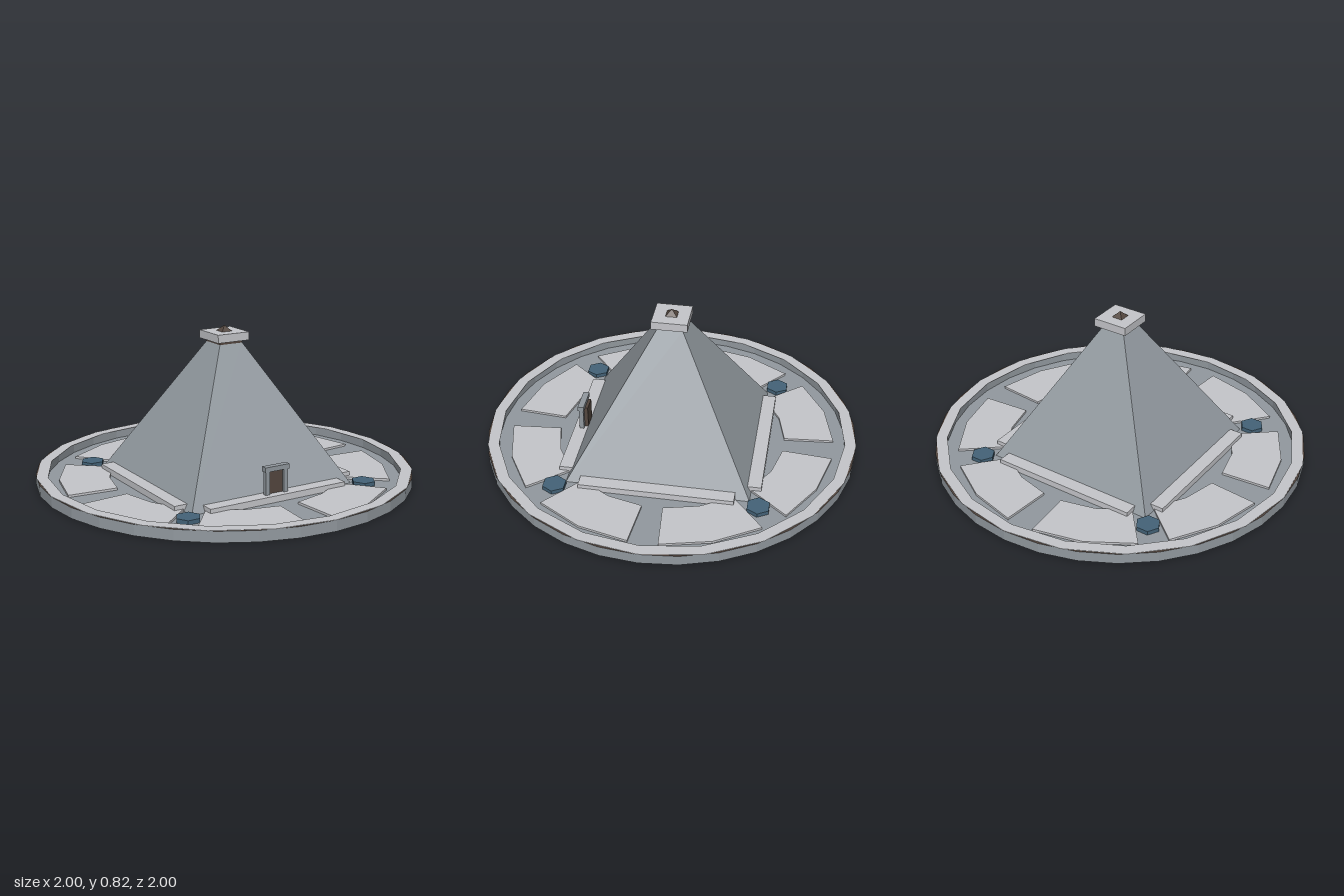
import * as THREE from 'three';

const mat = (name, color) => {
  const m = new THREE.MeshStandardMaterial({ color });
  m.name = name;
  return m;
};

export function createModel() {
  const root = new THREE.Group();
  root.name = 'pyramidPlaza';
  const stone = mat('grey stone', 0x92999f);
  const pale = mat('pale stone', 0xc6c7cb);
  const brown = mat('dark brown', 0x54473f);
  const water = mat('blue basin', 0x446378);

  const add = (name, geo, material, x = 0, y = 0, z = 0) => {
    const mesh = new THREE.Mesh(geo, material);
    mesh.name = name;
    mesh.position.set(x, y, z);
    root.add(mesh);
    return mesh;
  };
  // box given by its centre and its bottom and top heights
  const box = (name, material, x, z, w, d, y0, y1) =>
    add(name, new THREE.BoxGeometry(w, y1 - y0, d), material, x, (y0 + y1) / 2, z);
  // faceted prism or frustum standing on y0
  const prism = (name, material, r0, r1, sides, y0, y1, turn, x = 0, z = 0) => {
    const geo = new THREE.CylinderGeometry(r1, r0, y1 - y0, sides).rotateY(turn).toNonIndexed();
    geo.computeVertexNormals();
    return add(name, geo, material, x, (y0 + y1) / 2, z);
  };
  const arc = (r, a0, a1, n) => Array.from({ length: n + 1 }, (_, i) => {
    const a = a0 + (a1 - a0) * i / n;
    return new THREE.Vector2(r * Math.cos(a), r * Math.sin(a));
  });
  // flat shape laid on the ground plane and raised
  const slab = (shape, depth) =>
    new THREE.ExtrudeGeometry(shape, { depth, bevelEnabled: false }).rotateX(-Math.PI / 2);
  const ring = (outer, inner, sides, depth) => {
    const shape = new THREE.Shape(arc(outer, 0, Math.PI * 2, sides).slice(0, -1));
    shape.holes.push(new THREE.Path(arc(inner, 0, Math.PI * 2, sides).slice(0, -1)));
    return slab(shape, depth);
  };

  // sunken round court with a raised rim
  prism('courtFloor', stone, 0.99, 0.99, 32, 0, 0.008, 0);
  add('rimWall', ring(1, 0.945, 32, 0.056), [brown, stone]);
  add('rimTop', ring(1, 0.94, 20, 0.002), pale, 0, 0.056, 0);

  // eight paving sectors between the paths
  const deg = Math.PI / 180;
  for (let q = 0; q < 4; q++) {
    for (const start of [5, 50]) {
      const a = (q * 90 + start) * deg, b = a + 35 * deg;
      const shape = new THREE.Shape([...arc(0.88, a, b, 2), ...arc(0.615, b, a, 2)]);
      add('pavingSector', slab(shape, 0.014), pale, 0, 0.006, 0);
    }
  }

  // pyramid, cap and tip
  const R2 = Math.SQRT2;
  prism('pyramid', stone, 0.484 * R2, 0.066 * R2, 4, 0.002, 0.735, Math.PI / 4);
  prism('capNeck', brown, 0.068 * R2, 0.068 * R2, 4, 0.73, 0.747, Math.PI / 4);
  box('cap', pale, 0, 0, 0.188, 0.188, 0.747, 0.79);
  prism('tip', brown, 0.03 * R2, 0, 4, 0.79, 0.82, Math.PI / 4);

  // kerbs along the pyramid foot and basins at its corners
  for (const s of [-1, 1]) {
    box('kerb', pale, 0, s * 0.49, 0.81, 0.086, 0.008, 0.042);
    box('kerb', pale, s * 0.49, 0, 0.086, 0.81, 0.008, 0.042);
    for (const t of [-1, 1]) {
      prism('cornerBasin', water, 0.064, 0.064, 6, 0.004, 0.03, Math.PI / 2, s * 0.528, t * 0.53);
    }
  }

  // doorway
  box('door', brown, 0, 0.474, 0.086, 0.03, 0.008, 0.165);
  for (const s of [-1, 1]) box('doorPost', stone, s * 0.054, 0.491, 0.024, 0.024, 0.008, 0.165);
  box('lintel', stone, 0, 0.491, 0.144, 0.033, 0.163, 0.188);

  return root;
}
